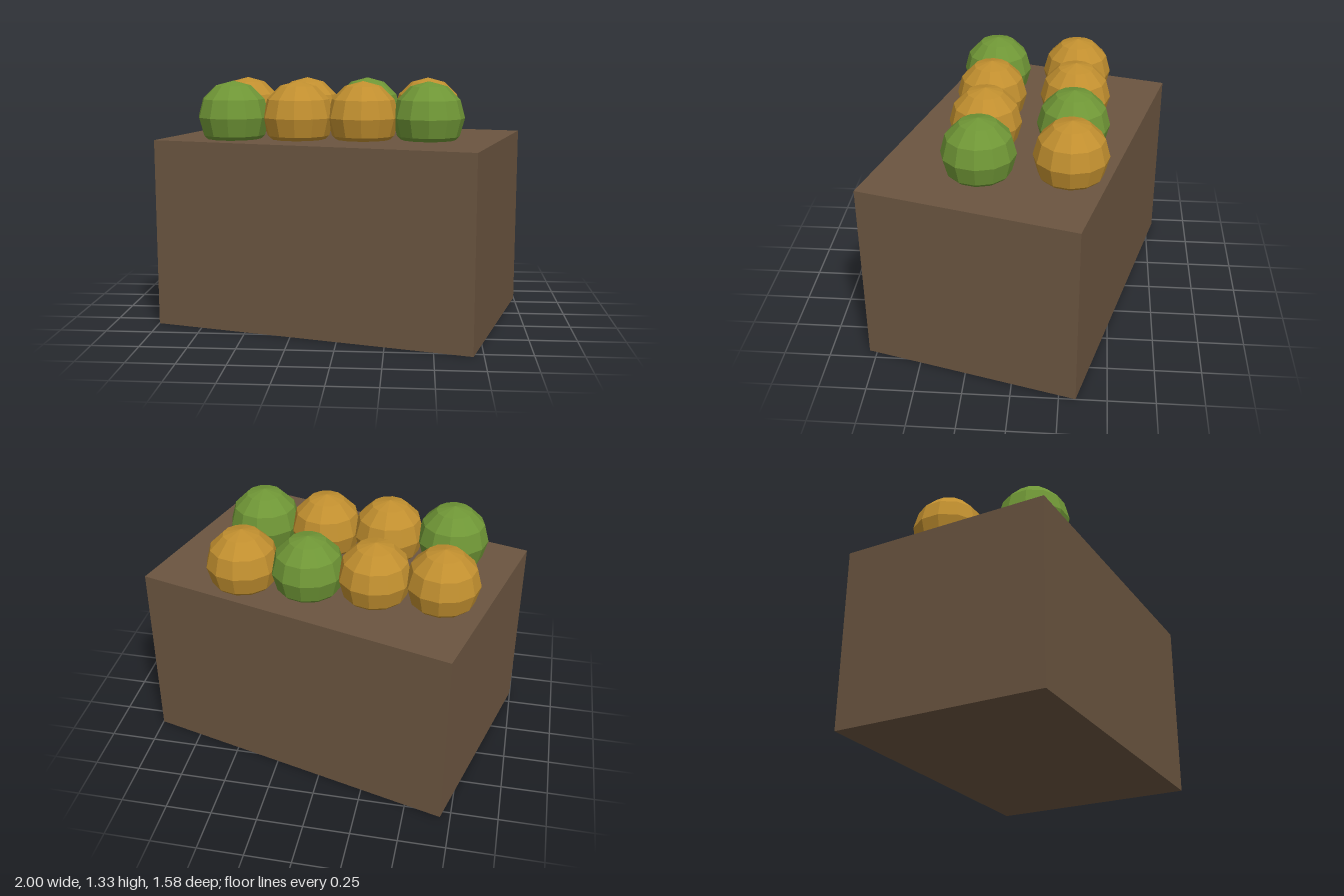
import * as THREE from 'three';

const material = (name, color) => {
  const m = new THREE.MeshStandardMaterial({ color });
  m.name = name;
  return m;
};

export function createModel() {
  const model = new THREE.Group();
  model.name = 'fruitCrate';

  const brown = material('crateBrown', 0x6b5540);
  const green = material('fruitGreen', 0x6f9636);
  const orange = material('fruitOrange', 0xc18f2f);
  green.flatShading = orange.flatShading = true;

  // Solid crate, turned 15 degrees
  const height = 1.015;
  const crate = new THREE.Mesh(new THREE.BoxGeometry(1.755, height, 1.17), brown);
  crate.name = 'crate';
  crate.position.y = height / 2;
  crate.rotation.y = -Math.PI / 12;
  model.add(crate);

  // Two rows of faceted fruit resting on the lid
  const fruitGeometry = new THREE.SphereGeometry(0.195, 12, 6);
  const rows = [
    { name: 'backFruit', z: -0.273, colors: [orange, orange, green, orange] },
    { name: 'frontFruit', z: 0.195, colors: [green, orange, orange, green] },
  ];
  for (const { name, z, colors } of rows) {
    colors.forEach((color, i) => {
      const fruit = new THREE.Mesh(fruitGeometry, color);
      fruit.name = `${name}${i + 1}`;
      fruit.position.set(-0.59 + i * 0.352, 1.132, z);
      model.add(fruit);
    });
  }

  return model;
}
